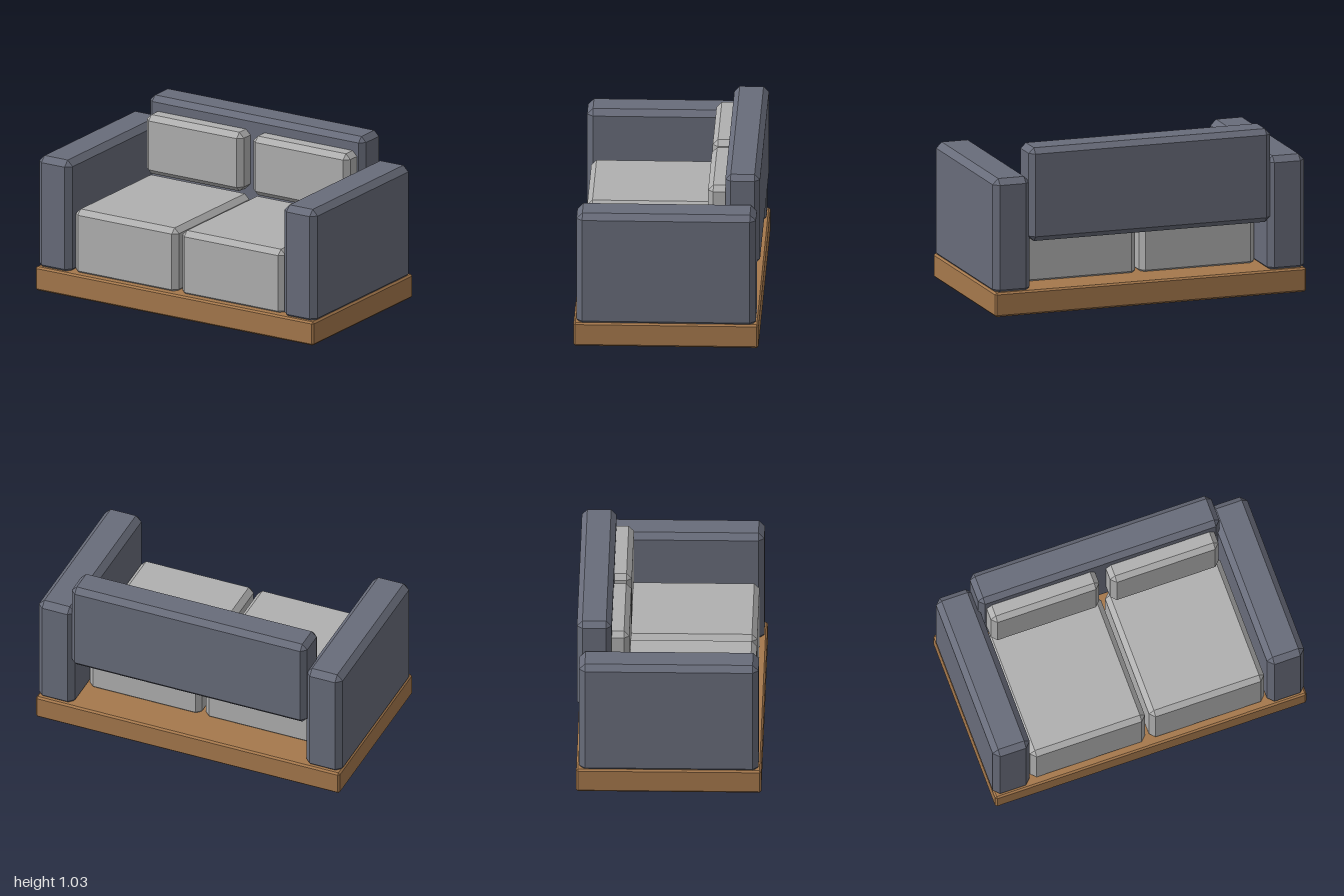
import * as THREE from 'three';
import { ConvexGeometry } from 'three/addons/geometries/ConvexGeometry.js';

const material = (color) => new THREE.MeshStandardMaterial({ color, flatShading: true });

// Box between two corners with every edge cut at 45 degrees by c
function chamferBox(name, min, max, c, mat) {
  const lo = new THREE.Vector3(...min), hi = new THREE.Vector3(...max);
  const half = hi.clone().sub(lo).multiplyScalar(0.5);
  const points = [];
  for (const sx of [-1, 1]) for (const sy of [-1, 1]) for (const sz of [-1, 1]) {
    // three points per corner, each lying on one of the adjoining faces
    for (const axis of ['x', 'y', 'z']) {
      const p = half.clone().subScalar(c);
      p[axis] += c;
      points.push(p.multiply(new THREE.Vector3(sx, sy, sz)));
    }
  }
  const mesh = new THREE.Mesh(new ConvexGeometry(points), mat);
  mesh.position.copy(lo).add(hi).multiplyScalar(0.5);
  mesh.name = name;
  return mesh;
}

export function createModel() {
  const sofa = new THREE.Group();
  sofa.name = 'sofa';
  const wood = material(0xa5784c);
  const fabric = material(0x686c7a);
  const cushion = material(0xb0b0b0);

  // Wooden plinth and backrest
  sofa.add(chamferBox('base', [-1, 0, -0.56], [1, 0.15, 0.56], 0.011, wood));
  sofa.add(chamferBox('backrest', [-0.775, 0.448, -0.56], [0.775, 1.028, -0.35], 0.033, fabric));

  // Arms and cushions, mirrored left and right; arms and seats sink into the base
  for (const [side, s] of [['left', 1], ['right', -1]]) {
    const add = (part, x0, x1, y0, y1, z0, z1, c, mat) => sofa.add(chamferBox(
      side + part, [Math.min(s * x0, s * x1), y0, z0], [Math.max(s * x0, s * x1), y1, z1], c, mat));
    add('Arm', 0.762, 1, 0.127, 0.85, -0.543, 0.543, 0.036, fabric);
    add('SeatCushion', 0.013, 0.752, 0.128, 0.546, -0.335, 0.515, 0.032, cushion);
    add('BackCushion', 0.035, 0.731, 0.565, 0.94, -0.385, -0.244, 0.032, cushion);
  }
  return sofa;
}
